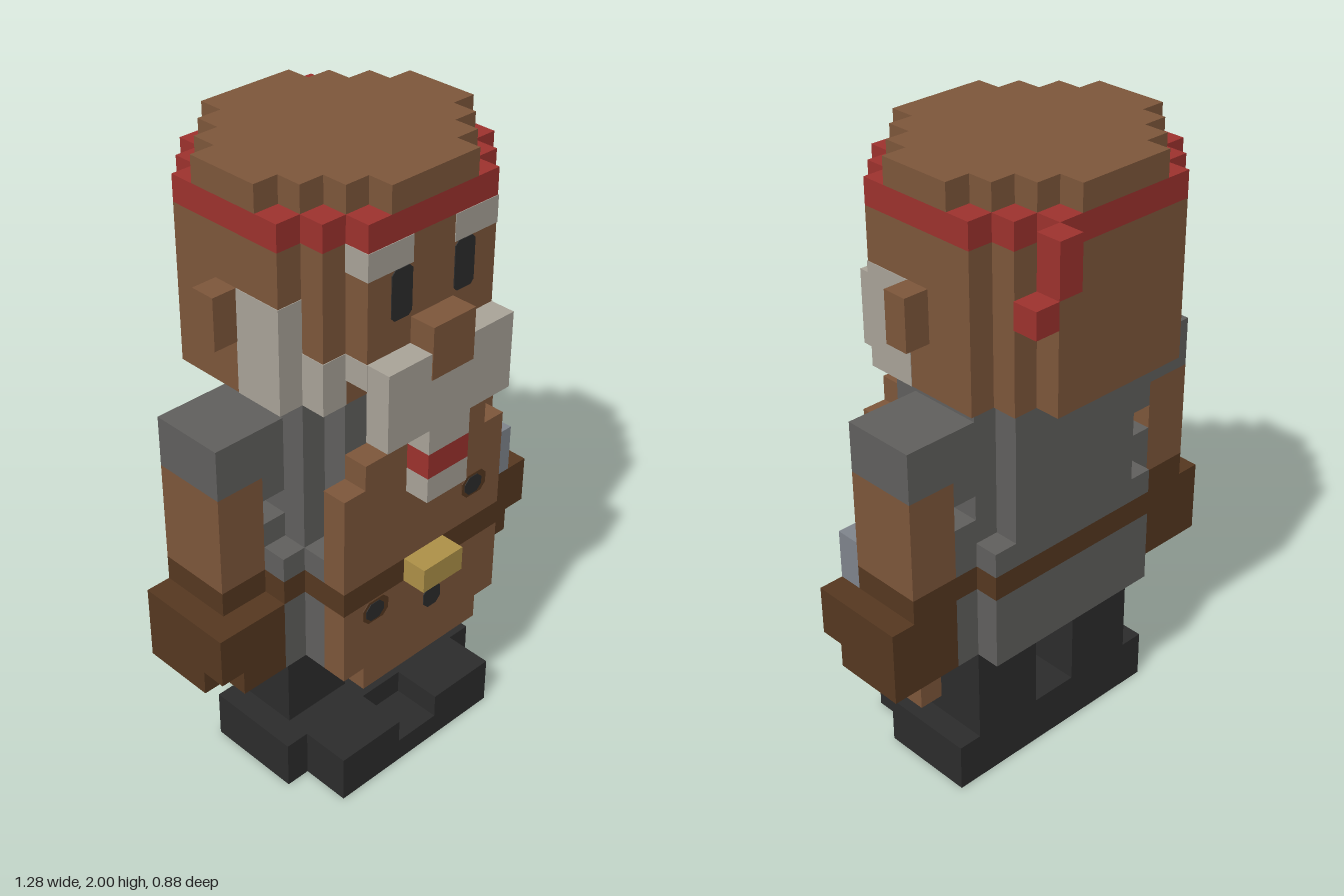
import * as THREE from 'three';

const U = 0.08; // edge of one block

const mat = (name, color) => {
  const m = new THREE.MeshStandardMaterial({ color });
  m.name = name;
  return m;
};

export function createModel() {
  const skin = mat('brown', 0x7e573b);
  const red = mat('red', 0x9e322e);
  const hair = mat('pale grey', 0xaaa499);
  const cloth = mat('grey', 0x61605e);
  const black = mat('black', 0x2c2c2c);
  const leather = mat('dark brown', 0x563820);
  const gold = mat('gold', 0xae9148);
  const steel = mat('steel', 0x80858d);

  const model = new THREE.Group();
  model.name = 'figure';

  // Box from block coordinates; grow lifts a coloured patch just off the surface
  function box(name, m, x0, x1, y0, y1, z0, z1, grow = 0) {
    const g = new THREE.BoxGeometry((x1 - x0) * U + grow, (y1 - y0) * U, (z1 - z0) * U + grow);
    const mesh = new THREE.Mesh(g, m);
    mesh.position.set((x0 + x1) / 2 * U, (y0 + y1) / 2 * U, (z0 + z1) / 2 * U);
    mesh.name = name;
    model.add(mesh);
  }
  function pair(name, m, x0, x1, ...rest) {
    box(name + 'Left', m, x0, x1, ...rest);
    box(name + 'Right', m, -x1, -x0, ...rest);
  }
  // Stepped block made of centred boxes, each row [half width, z0, z1]
  function layer(name, m, y0, y1, rows) {
    for (const [w, z0, z1] of rows) box(name, m, -w, w, y0, y1, z0, z1);
  }
  // Flat shape with cut corners on the apron or the face
  function patch(name, m, x, y, w, h, z, cut) {
    const a = w / 2, b = h / 2;
    const s = new THREE.Shape([
      [-a + cut, -b], [a - cut, -b], [a, -b + cut], [a, b - cut],
      [a - cut, b], [-a + cut, b], [-a, b - cut], [-a, -b + cut],
    ].map(p => new THREE.Vector2(...p)));
    const mesh = new THREE.Mesh(new THREE.ExtrudeGeometry(s, { depth: 0.003, bevelEnabled: false }), m);
    mesh.position.set(x, y, z);
    mesh.name = name;
    model.add(mesh);
  }

  // Boots and legs
  box('boots', black, -5, 5, 0, 2, -1.5, 2.5);
  box('bootSole', black, -4, 4, 0, 1, 2.5, 4.5);
  pair('bootToe', black, 1, 4, 1, 2, 2.5, 4.5);
  pair('leg', black, 1, 4, 2, 6, -1.5, 1.5);
  box('hips', black, -4, 4, 5, 6, -1.5, 1.5);

  // Torso with the belt running round it
  const wide = [[5, -1.5, 2.5], [4, -2.5, 3.5]];
  layer('tunicSkirt', cloth, 6, 9, wide);
  layer('belt', leather, 9, 10, wide);
  layer('tunicWaist', cloth, 10, 11, wide);
  layer('tunicSide', cloth, 11, 12, [[5, -1.5, 1.5]]);
  layer('tunicChest', cloth, 11, 17, [[4, -1.5, 2.5], [3, -2.5, 3.5]]);

  // Apron
  box('apronHem', skin, -3, 3, 5, 6, 3.5, 4.5);
  box('apronLower', skin, -4, 4, 6, 9, 3.5, 4.5);
  box('apronBelt', leather, -4, 4, 9, 10, 3.5, 4.5);
  box('apronUpper', skin, -4, 4, 10, 14, 3.5, 4.5);
  box('apronTop', skin, -3, 3, 14, 15, 3.5, 4.5);
  box('buckle', gold, -1, 1, 9, 10, 4.5, 5.5);
  for (const [x, y, rim] of [[0.2, 0.925, 1], [-0.2, 0.68, 1], [0.04, 0.6, 0]]) {
    if (rim) patch('stainRim', leather, x + 0.005, y, 0.1, 0.075, 0.36, 0.02);
    patch('stain', black, x, y, 0.07, 0.06 + (1 - rim) * 0.015, 0.362, 0.018);
  }

  // Arms
  pair('shoulder', cloth, 4, 5, 13, 16, -1.5, 1.5);
  pair('sleeve', cloth, 5, 7, 14, 16, -1.5, 1.5);
  pair('forearm', skin, 5, 7, 10, 14, -1.5, 1.5);
  pair('cuff', leather, 5, 7, 9, 10, -1.5, 1.5);
  pair('glove', leather, 5, 8, 7, 9, -1.5, 2.5);
  pair('gloveFingers', leather, 5, 7, 6, 7, -1.5, 2.5);
  pair('gloveEdge', leather, 7, 8, 6, 7, -1.5, 1.5);

  // Tool held in the left hand
  box('toolHandle', skin, 5, 6, 4, 6, -0.5, 1.5);
  box('toolHead', steel, 5, 7, 9, 11, 1.5, 2.5);

  // Head, headband and crown
  const round = [[5, -2.5, 2.5], [4, -3.5, 3.5], [3, -4.5, 4.5]];
  layer('jaw', skin, 17, 18, [[5, -2.5, 2.5], [4, -3.5, 3.5], [3, -4.5, 3.5]]);
  layer('head', skin, 18, 23, round);
  layer('headband', red, 23, 24, round);
  layer('crown', skin, 24, 25, [[5, -1.5, 1.5], [4, -2.5, 2.5], [3, -3.5, 3.5], [2, -4.5, 4.5]]);
  box('bandKnot', red, 3, 4, 22, 24, -5.5, -4.5);
  box('bandTail', red, 4, 5, 21, 22, -5.5, -4.5);

  // Face
  pair('ear', skin, 5, 6, 19, 21, -0.5, 0.5);
  pair('brow', hair, 1, 3, 22, 23, 3.5, 4.5, 0.004);
  for (const s of [1, -1]) patch('eye', black, s * 0.118, 1.685, 0.076, 0.148, 0.36, 0.012);
  box('nose', skin, -1, 1, 18, 20, 4.5, 5.54);

  // Beard with its red tie
  pair('sideburn', hair, 4, 5, 17, 21, 0.5, 2.5, 0.004);
  pair('beardCheek', hair, 3, 4, 17, 19, 2.5, 3.5, 0.004);
  box('beardUnder', hair, -3, 3, 18, 19, 3.5, 4.5, 0.004);
  box('beard', hair, -3, 3, 16, 19, 4.5, 5.5);
  box('beardBraid', hair, -1, 1, 15, 16, 4.5, 5.5);
  box('beardTie', red, -1, 1, 14, 15, 4.5, 5.5);
  box('beardTip', hair, -1, 1, 13, 14, 4.5, 5.5);

  return model;
}
